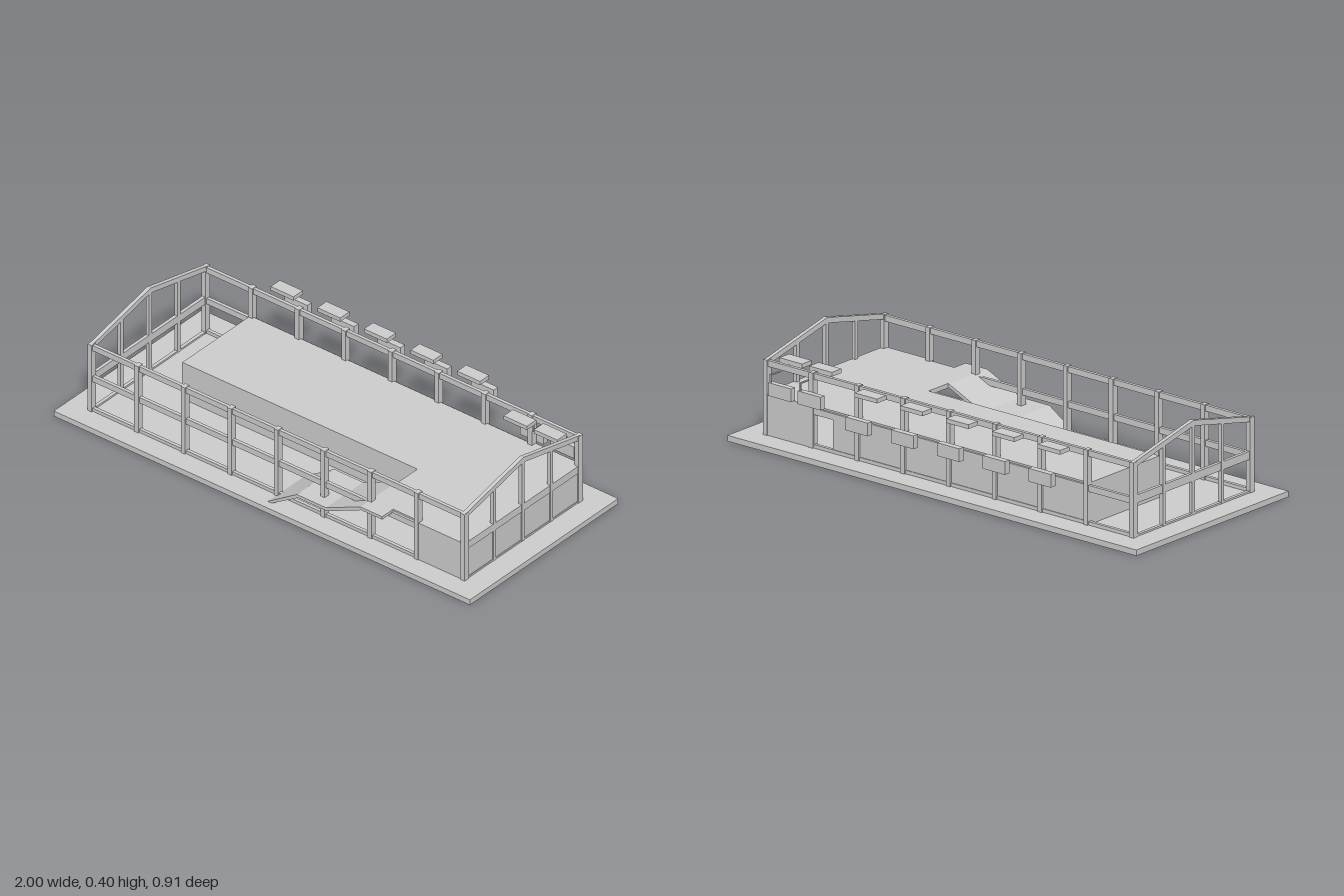
import * as THREE from 'three';

const BASE = 0.023, MID = 0.187, TOP = 0.32;
const Z0 = -0.314, Z1 = 0.358, ZC = 0.022, XE = 0.896, BAY = 0.224;

export function createModel() {
  const root = new THREE.Group();
  const mat = new THREE.MeshStandardMaterial({ color: 0xcccccc, flatShading: true });

  const add = (name, geo, parent = root) => {
    const m = new THREE.Mesh(geo, mat);
    m.name = name;
    parent.add(m);
    return m;
  };
  // box given by its two extreme corners
  const box = (name, x0, x1, y0, y1, z0, z1, parent) => {
    const m = add(name, new THREE.BoxGeometry(x1 - x0, y1 - y0, z1 - z0), parent);
    m.position.set((x0 + x1) / 2, (y0 + y1) / 2, (z0 + z1) / 2);
    return m;
  };
  const group = (name) => {
    const g = new THREE.Group();
    g.name = name;
    root.add(g);
    return g;
  };
  const polygon = (pts) => new THREE.Shape(pts.map(([x, y]) => new THREE.Vector2(x, y)));
  const extrude = (pts, depth) =>
    new THREE.ExtrudeGeometry(polygon(pts), { depth, bevelEnabled: false });

  // ground slab
  box('groundSlab', -1, 1, 0, BASE, -0.42, 0.455);

  // long sides: columns and horizontal rails
  for (const [side, z] of [['front', Z1], ['back', Z0]]) {
    const g = group(side + 'Frame');
    for (let i = 0; i < 9; i++) {
      const x = -XE + i * BAY;
      box('column', x - 0.01, x + 0.01, BASE, TOP, z - 0.013, z + 0.013, g);
    }
    for (const [y0, y1] of [[BASE, 0.037], [0.155, 0.18], [0.294, TOP - 0.002]])
      box('rail', -XE, XE, y0, y1, z - 0.007, z + 0.007, g);
  }

  // gable ends: sloping beams, posts and a middle rail
  const roofY = (z) => 0.385 - 0.077 * Math.abs(z - ZC) / 0.349;
  for (const [side, x] of [['left', XE], ['right', -XE]]) {
    const g = group(side + 'Gable');
    const beam = extrude([[-0.371, 0.297], [-ZC, 0.374], [0.327, 0.297],
      [0.327, 0.318], [-ZC, 0.396], [-0.371, 0.318]], 0.016);
    beam.rotateY(Math.PI / 2);
    add('roofBeam', beam, g).position.x = x - 0.008;
    for (let i = 1; i < 4; i++) {
      const z = Z0 + (Z1 - Z0) * i / 4;
      box('post', x - 0.008, x + 0.008, BASE, roofY(z), z - 0.008, z + 0.008, g);
    }
    box('middleRail', x - 0.007, x + 0.007, 0.155, MID, Z0, Z1, g);
    box('bottomRail', x - 0.007, x + 0.007, BASE, 0.03, Z0, Z1, g);
  }

  // lower walls
  const walls = group('lowerWalls');
  box('backWall', -0.676, 0.57, BASE, 0.17, Z0 - 0.004, Z0 + 0.004, walls);
  box('backCornerWall', 0.66, XE, BASE, MID, Z0 - 0.009, Z0 + 0.004, walls);
  box('frontCornerWall', 0.66, XE, BASE, MID, Z1 - 0.004, Z1 + 0.009, walls);
  box('endWall', XE - 0.004, XE + 0.004, BASE, 0.17, Z0, Z1, walls);
  box('innerEndWall', -0.68, -0.672, BASE, 0.17, Z0, 0.09, walls);
  box('innerFrontWall', -0.676, 0.45, BASE, 0.17, 0.08, 0.088, walls);

  // upper floor, wider at one end where the stair arrives (shape y is -z)
  const floor = extrude([[-0.68, -0.09], [0.45, -0.09], [0.45, -0.355],
    [XE, -0.355], [XE, 0.312], [-0.68, 0.312]], 0.018);
  floor.rotateX(-Math.PI / 2);
  add('upperFloor', floor).position.y = MID - 0.018;

  // folded stair ramp with a half landing
  const stair = extrude([[0, BASE], [0.02, BASE], [0.145, 0.1], [0.285, 0.1],
    [0.45, 0.174], [0.55, 0.174], [0.55, MID], [0.445, MID], [0.28, 0.113],
    [0.14, 0.113]], 0.22);
  add('stairRamp', stair).position.z = 0.2;

  // row of window boards and canopies along the back
  for (let i = 0; i < 5; i++) {
    const x = -0.56 + i * BAY;
    const g = group('backWindowUnit');
    box('board', x - 0.055, x + 0.055, 0.192, 0.244, -0.459, -0.433, g);
    box('canopy', x - 0.055, x + 0.055, 0.308, 0.325, -0.406, -0.352, g);
  }

  // corner units with their bent pipes
  for (const x of [0.66, 0.806]) {
    const g = group('cornerUnit');
    box('board', x - 0.056, x + 0.056, 0.192, 0.244, -0.35, -0.327, g);
    box('canopy', x - 0.056, x + 0.056, 0.308, 0.325, -0.285, -0.23, g);
    const px = x + 0.047;
    box('pipe', px - 0.004, px + 0.004, 0.273, 0.312, -0.28, -0.276, g);
    box('pipe', px - 0.004, px + 0.004, 0.273, 0.277, -0.348, -0.276, g);
    box('pipe', px - 0.004, px + 0.004, 0.24, 0.277, -0.348, -0.344, g);
  }

  return root;
}
